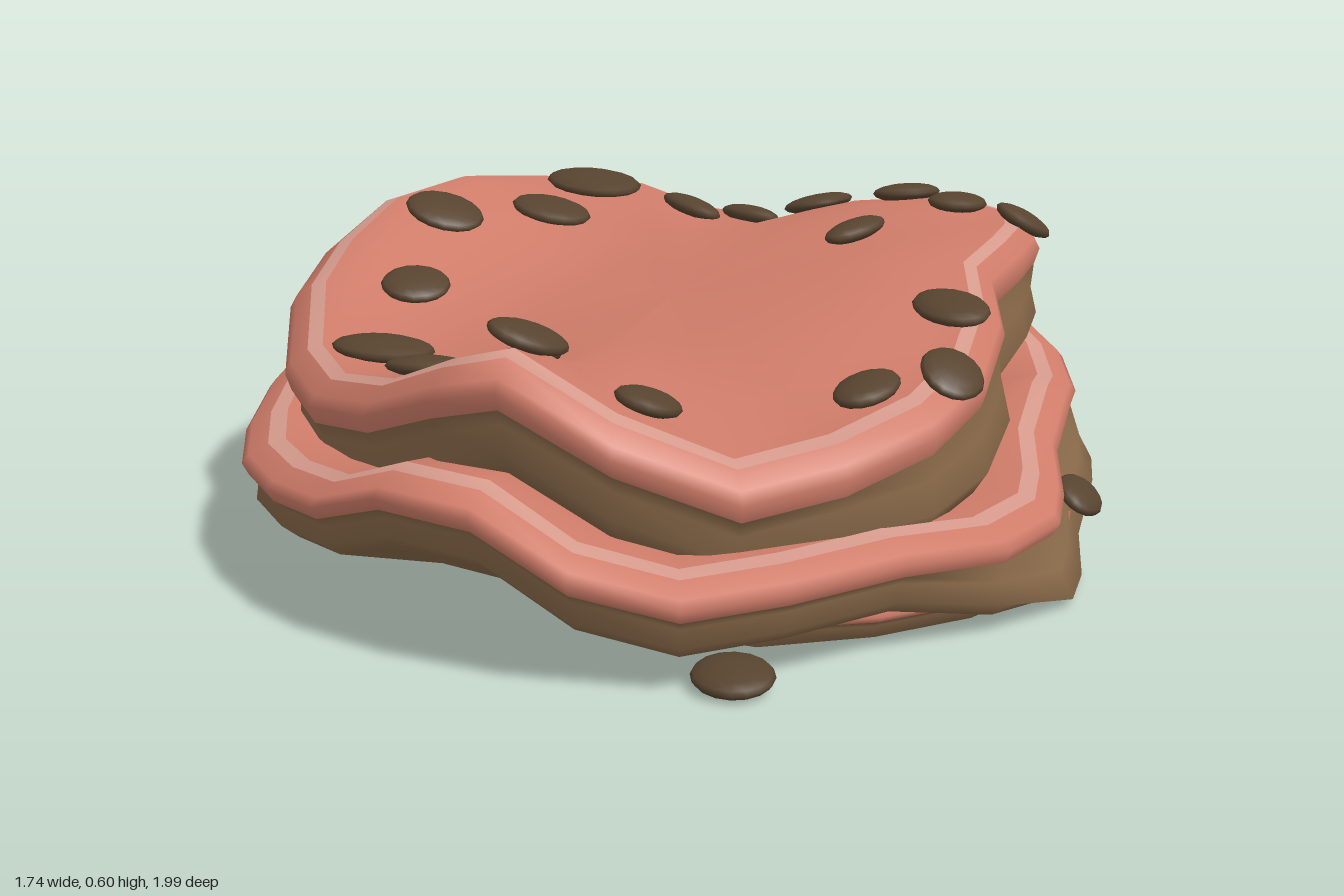
import * as THREE from 'three';

const mat = (color) => new THREE.MeshStandardMaterial({ color, side: THREE.DoubleSide, roughness: 0.9 });
const pink = mat(0xcf7c69), stripe = mat(0xd59a8c), brown = mat(0x8e6d4c), seedBrown = mat(0x57432f);

// Rim points run clockwise seen from above: x, z, height, extra droop of the lower edge
const topRim = [
  [0, -.82, .51], [.2, -.83, .56], [.44, -.84, .58], [.58, -.73, .57], [.63, -.55, .57, .02], [.64, -.35, .57, .03],
  [.62, -.15, .55, .04], [.68, .05, .51, .04], [.7, .3, .46, .03], [.66, .5, .42, .02], [.55, .67, .38], [.4, .78, .35],
  [.2, .86, .43], [0, .87, .53], [-.15, .81, .49], [-.35, .65, .41], [-.55, .47, .37], [-.7, .28, .38],
  [-.79, .08, .47], [-.81, -.1, .53], [-.79, -.3, .59], [-.72, -.55, .61], [-.63, -.83, .58], [-.37, -.86, .57],
  [-.2, -.83, .53],
];
const middleRim = [
  [0, -.965, .24, .05], [.33, -.97, .28], [.5, -.92, .35], [.65, -.76, .28, .02], [.72, -.53, .26, .06],
  [.75, -.3, .29, .07], [.76, -.1, .24, .07], [.81, .1, .21, .06], [.83, .25, .2, .05], [.78, .45, .2, .02],
  [.65, .65, .22], [.5, .83, .21], [.35, .95, .2], [.17, .99, .24], [0, .99, .33], [-.2, .92, .33], [-.37, .82, .27],
  [-.53, .68, .25], [-.68, .5, .24], [-.78, .3, .25], [-.85, .07, .28], [-.88, -.1, .3], [-.86, -.25, .31],
  [-.8, -.5, .3], [-.73, -.72, .31], [-.66, -.88, .35], [-.44, -.96, .34], [-.22, -.94, .25, .06],
];
// The bottom slab is cut short at its front right corner
const bottomRim = [
  [0, -.84, .13], [.3, -.84, .13], [.56, -.77, .125], [.7, -.56, .115], [.77, -.25, .105], [.81, .05, .09],
  [.8, .25, .085], [.73, .43, .085], [.59, .59, .085], [.41, .71, .09], [.2, .77, .12], [.02, .68, .13],
  [-.15, .52, .12], [-.33, .37, .11], [-.51, .23, .1], [-.66, .08, .1], [-.71, -.12, .11], [-.7, -.35, .12],
  [-.64, -.58, .12], [-.51, -.76, .13], [-.25, -.83, .13],
];

// Joins consecutive closed rings of points into a smooth band
function band(name, material, rings) {
  const n = rings[0].length, index = [];
  for (let r = 0; r < rings.length - 1; r++) {
    for (let i = 0; i < n; i++) {
      const j = (i + 1) % n, a = r * n, b = a + n;
      index.push(a + i, a + j, b + i, a + j, b + j, b + i);
    }
  }
  const geometry = new THREE.BufferGeometry();
  geometry.setAttribute('position', new THREE.Float32BufferAttribute(rings.flat(2), 3));
  geometry.setIndex(index);
  geometry.computeVertexNormals();
  const mesh = new THREE.Mesh(geometry, material);
  mesh.name = name;
  return mesh;
}

// One wavy slab: top surface, pale stripe, pink edge, brown underside
function slab(name, rim, { centre, tilt, base, thick, lip }) {
  // Upper surface: s = scale toward the rim, w = blend from the tilted middle to the rim height
  const upper = (s, w) => rim.map(([x, z, y]) => {
    const middle = centre + tilt * s * (x - z);
    return [x * s, middle + (y - middle) * w, z * s];
  });
  // Side wall: drop below the rim, following any droop outward
  const wall = (s, drop, d = 0) => rim.map(([x, z, y, droop = 0]) => {
    const k = s + droop * d;
    return [x * k, Math.max(.02, y - drop - droop * d), z * k];
  });
  const floor = (s) => rim.map(([x, z]) => [x * s, base, z * s]);
  const group = new THREE.Group();
  group.name = name;
  group.add(
    band(name + 'Surface', pink, [upper(0, 0), upper(.3, .03), upper(.5, .18), upper(.68, .6), upper(.82, .95), upper(.9, 1)]),
    band(name + 'Stripe', stripe, [upper(.9, 1), wall(.94, lip * .1)]),
    band(name + 'Edge', pink, [wall(.94, lip * .1), wall(.985, lip * .4), wall(1, lip * .65), wall(.985, lip)]),
    band(name + 'Underside', brown, [
      wall(.985, lip), wall(.96, lip + (thick - lip) * .25, .9), wall(.97, lip + (thick - lip) * .65, 1.3),
      wall(.93, thick, 1.3), floor(.8), floor(0),
    ]),
  );
  return group;
}

// Flat oval seed
const seedGeometry = new THREE.SphereGeometry(1, 16, 8);
function seed(x, y, z, length, width, turn, normal) {
  const mesh = new THREE.Mesh(seedGeometry, seedBrown);
  mesh.name = 'seed';
  mesh.scale.set(length, .02, width);
  mesh.position.set(x, y, z);
  mesh.quaternion.setFromUnitVectors(new THREE.Vector3(0, 1, 0), normal)
    .multiply(new THREE.Quaternion().setFromAxisAngle(new THREE.Vector3(0, 1, 0), turn));
  return mesh;
}

export function createModel() {
  const model = new THREE.Group();
  model.name = 'layeredSlabs';
  const top = slab('topSlab', topRim, { centre: .47, tilt: .15, base: .24, thick: .21, lip: .09 });
  model.add(
    slab('bottomSlab', bottomRim, { centre: .1, tilt: 0, base: .02, thick: .09, lip: .035 }),
    slab('middleSlab', middleRim, { centre: .16, tilt: 0, base: .125, thick: .14, lip: .065 }),
    top,
  );

  // Seeds resting on the top slab: x, z, half length, half width, turn
  const spots = [
    [-.41, -.67, .125, .09, -.5], [-.43, -.46, .09, .085, -.5], [-.59, -.25, .085, .08, 0], [-.54, .01, .07, .075, 0],
    [-.49, .27, .11, .08, -.2], [-.3, .48, .08, .075, -.3], [-.075, .54, .08, .05, 1.4], [0, .72, .085, .06, 1.1],
    [.19, .65, .06, .075, 0], [.52, .45, .08, .055, 1.4], [.65, .36, .075, .06, 1.6], [.59, .11, .09, .065, -.8],
    [.3, -.29, .085, .045, 1.2], [.59, -.57, .085, .06, 1.3], [.44, -.61, .08, .06, 1.4], [.3, -.73, .075, .06, .6],
    [.1, -.73, .085, .075, 1.4], [-.03, -.64, .075, .04, -.4], [-.16, -.62, .09, .045, -.6],
  ];
  const seeds = new THREE.Group();
  seeds.name = 'seeds';
  const up = new THREE.Vector3(0, 1, 0);
  model.updateMatrixWorld(true);
  const ray = new THREE.Raycaster();
  for (const [x, z, length, width, turn] of spots) {
    ray.set(new THREE.Vector3(x, 2, z), new THREE.Vector3(0, -1, 0));
    const hit = ray.intersectObject(top, true)[0];
    const normal = hit.face.normal.clone().lerp(up, .2).normalize();
    seeds.add(seed(x, hit.point.y + .014, z, length, width, turn, normal));
  }
  // One seed stuck to the side and one fallen in front
  seeds.add(seed(.81, .12, -.08, .05, .08, 0, new THREE.Vector3(.6, .8, 0).normalize()));
  seeds.add(seed(.41, .03, .86, .07, .08, .6, new THREE.Vector3(0, 1, .12).normalize()));
  model.add(seeds);
  return model;
}
